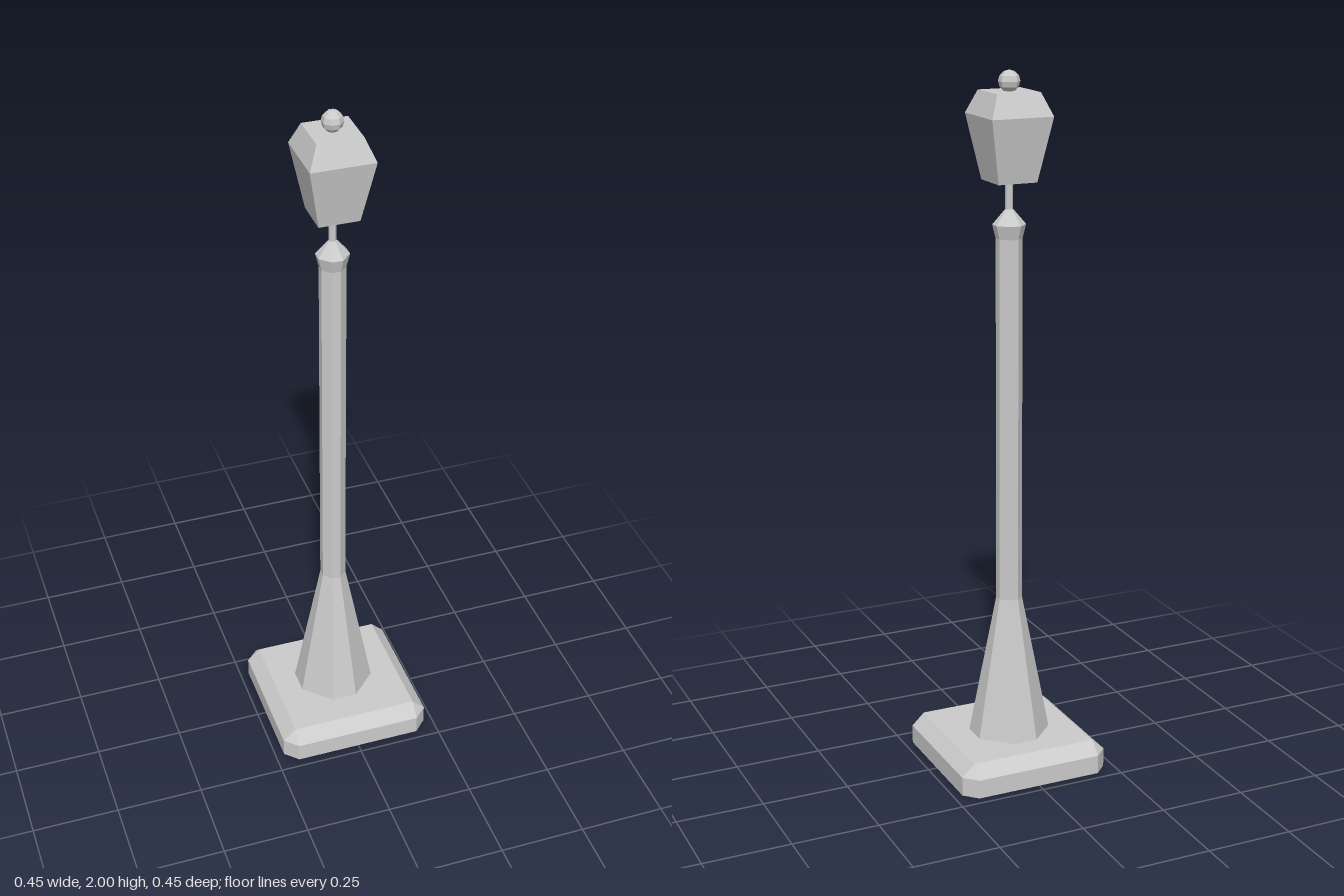
import * as THREE from 'three';

const material = new THREE.MeshStandardMaterial({
  color: 0xcccccc, flatShading: true, side: THREE.DoubleSide,
});

// Square with cut corners: a = half width, b = half length of the flat side (b = a gives a plain square).
const ring = ([y, a, b]) =>
  [[b, a], [a, b], [a, -b], [b, -a], [-b, -a], [-a, -b], [-a, b], [-b, a]]
    .map(([x, z]) => new THREE.Vector3(x, y, z));

// Skin a stack of [y, a, b] sections, from bottom to top, with optional end caps.
function loft(name, sections, capBottom, capTop) {
  const rings = sections.map(ring);
  const positions = [];
  const tri = (p, q, r) => {
    if (new THREE.Triangle(p, q, r).getArea() < 1e-9) return;
    for (const v of [p, q, r]) positions.push(v.x, v.y, v.z);
  };
  for (let s = 0; s < rings.length - 1; s++) {
    const lo = rings[s], hi = rings[s + 1];
    for (let i = 0; i < 8; i++) {
      const j = (i + 1) % 8;
      tri(lo[i], lo[j], hi[j]);
      tri(lo[i], hi[j], hi[i]);
    }
  }
  const first = rings[0], last = rings[rings.length - 1];
  for (let i = 1; i < 7; i++) {
    if (capBottom) tri(first[0], first[i + 1], first[i]);
    if (capTop) tri(last[0], last[i], last[i + 1]);
  }
  const geometry = new THREE.BufferGeometry();
  geometry.setAttribute('position', new THREE.Float32BufferAttribute(positions, 3));
  geometry.computeVertexNormals();
  const mesh = new THREE.Mesh(geometry, material);
  mesh.name = name;
  return mesh;
}

export function createModel() {
  const model = new THREE.Group();
  model.name = 'streetLamp';

  // Hollow plinth, open underneath, with bevelled top and corners
  model.add(loft('base', [[0, 0.224, 0.187], [0.055, 0.224, 0.187], [0.09, 0.187, 0.187]], false, true));

  // Everything above the plinth stands slightly off its centre
  const post = new THREE.Group();
  post.name = 'post';
  post.position.set(-0.003, 0, -0.009);
  model.add(post);

  // Flared foot, slim shaft, collar and thin neck
  post.add(loft('foot', [[0.087, 0.1115, 0.037], [0.503, 0.035, 0.012]], true, false));
  post.add(loft('shaft', [[0.503, 0.035, 0.012], [1.547, 0.035, 0.012]], false, false));
  post.add(loft('collar', [[1.547, 0.035, 0.012], [1.585, 0.044, 0.015], [1.627, 0.01, 0.004]], false, false));
  post.add(loft('neck', [[1.627, 0.01, 0.004], [1.706, 0.01, 0.004]], false, false));

  // Square lantern with sloping roof
  post.add(loft('lantern', [[1.703, 0.057, 0.057], [1.881, 0.09, 0.09], [1.944, 0.0635, 0.0635]], true, true));

  // Ball finial
  const finial = new THREE.Mesh(new THREE.SphereGeometry(0.03, 8, 6), material);
  finial.name = 'finial';
  finial.position.y = 1.97;
  finial.rotation.y = Math.PI / 8;
  post.add(finial);

  return model;
}
